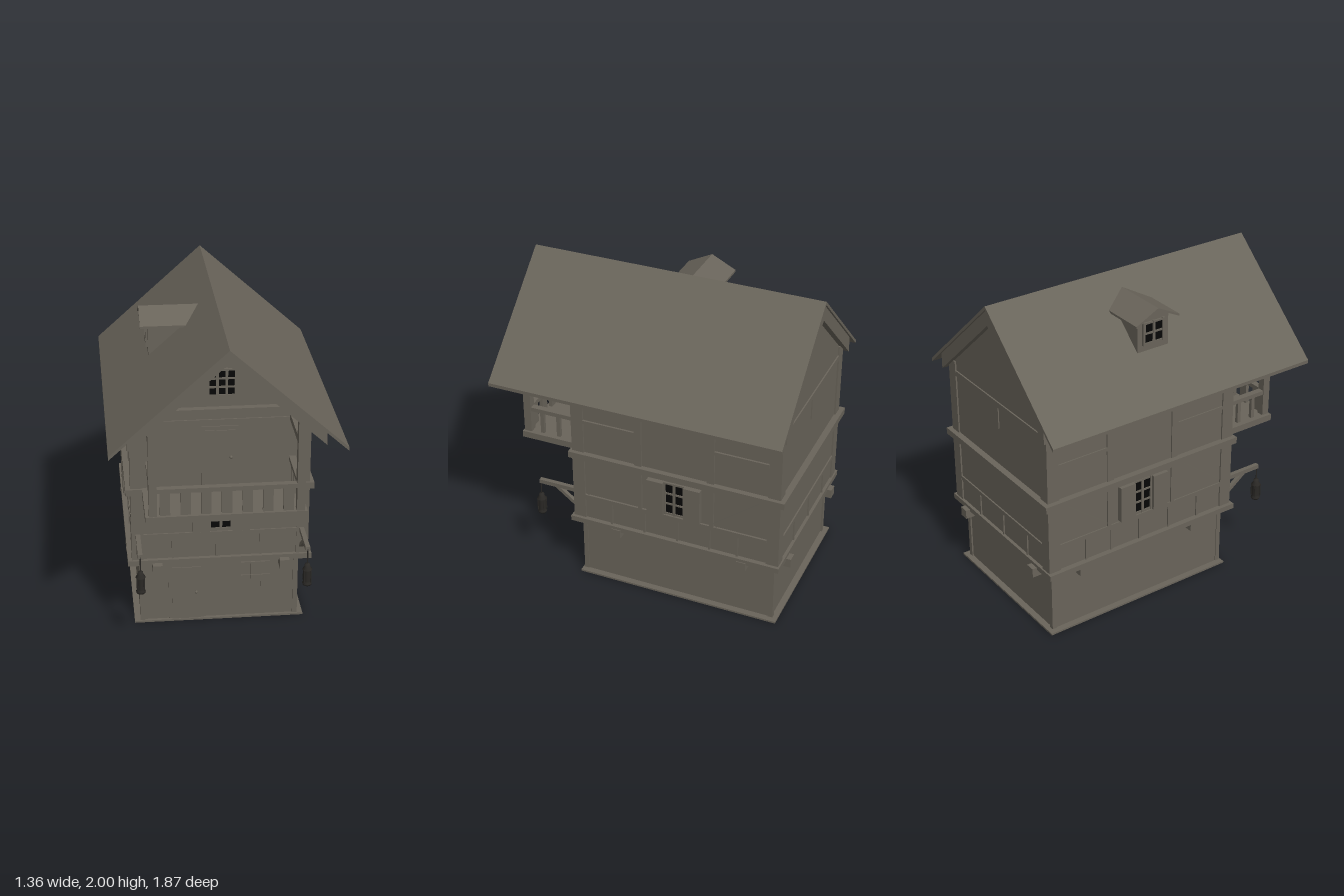
import * as THREE from 'three';

const mat = (name, color) => {
  const m = new THREE.MeshStandardMaterial({ color });
  m.name = name;
  return m;
};

export function createModel() {
  const house = new THREE.Group();
  house.name = 'timberHouse';
  const tan = mat('weatheredTan', 0x69645a);
  const black = mat('blackPane', 0x060606);
  const iron = mat('darkIron', 0x2b2926);

  const add = (name, geo, m = tan, parent = house) => {
    const mesh = new THREE.Mesh(geo, m);
    mesh.name = name;
    parent.add(mesh);
    return mesh;
  };
  // Box given by its limits on each axis
  const box = (name, x0, x1, y0, y1, z0, z1, m = tan, parent = house) => {
    const mesh = add(name, new THREE.BoxGeometry(x1 - x0, y1 - y0, z1 - z0), m, parent);
    mesh.position.set((x0 + x1) / 2, (y0 + y1) / 2, (z0 + z1) / 2);
    return mesh;
  };
  // Straight timber between two points
  const beam = (name, a, b, w, h, m = tan) => {
    const p = new THREE.Vector3(...a), q = new THREE.Vector3(...b);
    const mesh = add(name, new THREE.BoxGeometry(w, h, p.distanceTo(q)), m);
    mesh.position.copy(p).add(q).multiplyScalar(0.5);
    mesh.lookAt(q);
    return mesh;
  };
  // Outline in x/y extruded between two z limits
  const prism = (name, pts, z0, z1, parent = house) => {
    const shape = new THREE.Shape(pts.map(p => new THREE.Vector2(...p)));
    const mesh = add(name, new THREE.ExtrudeGeometry(shape, { depth: z1 - z0, bevelEnabled: false }), tan, parent);
    mesh.position.z = z0;
    return mesh;
  };
  const chevron = (name, top, slope, half, thick, z0, z1, parent = house) => {
    const low = top - slope * half;
    return prism(name, [[0, top], [-half, low], [-half, low - thick], [0, top - thick],
      [half, low - thick], [half, low]], z0, z1, parent);
  };
  const slope = 0.897;

  // Ground floor with a thin plinth frame and a dark underside
  box('plinthFront', -0.535, 0.52, 0, 0.012, 0.37, 0.445);
  box('plinthBack', -0.535, 0.52, 0, 0.012, -0.88, -0.80);
  box('plinthRight', -0.535, -0.455, 0, 0.012, -0.80, 0.37);
  box('plinthLeft', 0.44, 0.52, 0, 0.012, -0.80, 0.37);
  box('groundFloor', -0.495, 0.48, 0.008, 0.43, -0.84, 0.425);
  box('underside', -0.455, 0.44, 0.004, 0.008, -0.80, 0.37, black);
  for (const x of [-0.5, 0.455]) for (const z of [0.405, -0.85])
    box('groundCornerPost', x, x + 0.03, 0.012, 0.43, z, z + 0.03);

  // Ground floor door and shuttered hatch
  box('doorFrame', -0.32, -0.10, 0.012, 0.40, 0.42, 0.432);
  box('groundDoor', -0.30, -0.12, 0.012, 0.375, 0.43, 0.438);
  add('doorKnob', new THREE.SphereGeometry(0.01, 10, 8)).position.set(-0.15, 0.2, 0.443);
  for (let i = 0; i < 3; i++) for (let j = 0; j < 2; j++)
    box('hatchBoard', 0.13 + i * 0.061, 0.188 + i * 0.061, 0.21 + j * 0.092, 0.298 + j * 0.092, 0.42, 0.434);

  // Upper floors, closed by the gable
  box('middleFloor', -0.535, 0.53, 0.43, 0.93, -0.88, 0.455);
  prism('upperFloor', [[-0.535, 0.92], [0.53, 0.92], [0.53, 1.495], [0, 1.975], [-0.535, 1.49]], -0.88, 0.455);

  // Floor beams and the joist ends under them
  box('lowerFloorBeam', -0.57, 0.56, 0.425, 0.46, -0.90, 0.48);
  box('upperFloorBeam', -0.575, 0.565, 0.905, 0.947, -0.92, 0.48);
  for (const x of [-0.39, 0.39]) box('longJoist', x - 0.03, x + 0.03, 0.38, 0.44, -0.93, 0.52);
  for (const z of [0.17, -0.66]) box('crossJoist', -0.57, 0.565, 0.38, 0.44, z - 0.03, z + 0.03);

  // Corner posts
  for (const x of [-0.545, 0.465]) for (const z of [0.385, -0.89])
    box('cornerPost', x, x + 0.075, 0.46, 1.44, z, z + 0.08);

  // Timber framing on both long sides
  for (const s of [-1, 1]) {
    const plate = (name, y0, y1, z0, z1) => {
      const a = s * 0.525, b = s * 0.543;
      box(name, Math.min(a, b), Math.max(a, b), y0, y1, z0, z1);
    };
    plate('sideSill', 0.605, 0.635, -0.81, 0.385);
    plate('sideTopBeam', 1.36, 1.42, -0.81, 0.385);
    for (const z of [0.0, -0.47]) {
      plate('middleStud', 0.635, 0.905, z, z + 0.025);
      plate('upperStud', 0.947, 1.36, z, z + 0.045);
    }
    for (const z of [0.2, -0.02, -0.24, -0.45, -0.63]) plate('lowerStud', 0.46, 0.605, z, z + 0.012);
    plate('upperRailFront', 1.157, 1.18, 0.045, 0.385);
    plate('upperRailBack', 1.157, 1.18, -0.81, -0.47);
    beam('frontBrace', [s * 0.534, 0.65, 0.37], [s * 0.534, 0.90, 0.045], 0.018, 0.03);
    beam('backBrace', [s * 0.534, 0.65, -0.48], [s * 0.534, 0.90, -0.80], 0.018, 0.03);
    // Rafter ends below the eaves
    for (let i = 0; i < 8; i++) {
      const z = -0.78 + i * 0.165;
      beam('rafterEnd', [s * 0.5, 1.5, z], [s * 0.62, 1.5 - 0.12 * slope, z], 0.045, 0.05);
    }
  }

  // Timber framing on the front and back walls
  for (const [z0, z1] of [[0.45, 0.464], [-0.889, -0.875]]) {
    box('wallSill', -0.47, 0.465, 0.605, 0.632, z0, z1);
    box('wallTopBeam', -0.47, 0.465, 1.345, 1.38, z0, z1);
    for (const x of [-0.3, -0.03, 0.24]) box('lowerStud', x, x + 0.012, 0.46, 0.605, z0, z1);
    chevron('gableRafter', 1.975, slope, 0.5, 0.085, z0, z1);
  }
  box('backStud', -0.02, 0.02, 1.2, 1.345, -0.887, -0.875);

  // Window facing +z: black pane, frame, glazing bars, optional shutters
  const makeWindow = (name, w, h, cols, rows, shutter) => {
    const g = new THREE.Group();
    g.name = name;
    house.add(g);
    const t = 0.008, W = w / 2, H = h / 2;
    box('pane', -W, W, -H, H, -0.003, 0.003, black, g);
    for (let i = 0; i <= cols; i++) {
      const x = -W + (w * i) / cols;
      box('upright', x - t, x + t, -H - t, H + t, -0.004, 0.012, tan, g);
    }
    for (let j = 0; j <= rows; j++) {
      const y = -H + (h * j) / rows;
      box('crossBar', -W, W, y - t * 0.7, y + t * 0.7, -0.004, 0.01, tan, g);
    }
    if (shutter) for (const s of [-1, 1]) {
      const c = s * (W + 0.055);
      box('shutter', c - 0.053, c + 0.053, -H - t, H + t, -0.004, 0.032, tan, g);
    }
    return g;
  };
  makeWindow('frontWindow', 0.135, 0.22, 2, 3, true).position.set(0, 0.765, 0.459);
  makeWindow('gableWindow', 0.165, 0.16, 3, 3, false).position.set(0.005, 1.615, 0.459);
  for (const s of [-1, 1]) {
    const g = makeWindow('sideWindow', 0.13, 0.22, 2, 3, true);
    g.position.set(s * 0.538, 0.765, -0.217);
    g.rotation.y = s * Math.PI / 2;
  }

  // Balcony door
  box('balconyDoorFrame', -0.115, 0.105, 0.947, 1.335, 0.45, 0.462);
  box('balconyDoor', -0.095, 0.085, 0.947, 1.31, 0.46, 0.468);
  add('balconyKnob', new THREE.SphereGeometry(0.01, 10, 8)).position.set(0.06, 1.135, 0.473);

  // Balcony: floor, posts, railing and open truss
  box('balconyFloor', -0.475, 0.47, 0.905, 0.947, 0.455, 0.84);
  box('frontRail', -0.41, 0.41, 1.093, 1.12, 0.79, 0.83);
  for (let i = 0; i < 7; i++) {
    const x = -0.36 + i * 0.12;
    box('frontBaluster', x - 0.03, x + 0.03, 0.947, 1.095, 0.80, 0.822);
  }
  for (const s of [-1, 1]) {
    const x = s * 0.43;
    box('balconyPost', x - 0.024, x + 0.024, 0.947, 1.56, 0.785, 0.833);
    box('sideRail', x - 0.02, x + 0.02, 1.093, 1.12, 0.455, 0.79);
    box('balconyTopBeam', x - 0.02, x + 0.02, 1.36, 1.4, 0.455, 0.79);
    for (const z of [0.715, 0.605, 0.50])
      box('sideBaluster', x - 0.011, x + 0.011, 0.947, 1.095, z - 0.012, z + 0.012);
  }
  box('trussTie', -0.41, 0.41, 1.575, 1.61, 0.79, 0.83);
  chevron('frontTruss', 1.975, slope, 0.57, 0.1, 0.785, 0.835);
  chevron('backBargeBoard', 1.975, slope, 0.57, 0.1, -0.92, -0.88);

  // Main roof
  chevron('roof', 2, slope, 0.68, 0.022, -0.93, 0.935);

  // Dormer, built facing +z and turned to -x
  const dormer = new THREE.Group();
  dormer.name = 'dormer';
  dormer.position.z = -0.045;
  dormer.rotation.y = -Math.PI / 2;
  house.add(dormer);
  chevron('dormerRoof', 1.92, 0.5, 0.155, 0.014, 0.09, 0.45, dormer);
  prism('dormerBody', [[-0.11, 1.62], [0.11, 1.62], [0.11, 1.852], [0, 1.907], [-0.11, 1.852]], 0.2, 0.4, dormer);
  const dw = makeWindow('dormerWindow', 0.14, 0.13, 2, 2, false);
  dormer.add(dw);
  dw.position.set(0, 1.755, 0.402);

  // Lanterns on braced arms
  const profile = [[0, 0], [0.026, 0], [0.03, 0.012], [0.022, 0.02], [0.026, 0.03], [0.026, 0.1],
    [0.031, 0.106], [0.018, 0.125], [0.016, 0.142], [0, 0.148]].map(p => new THREE.Vector2(...p));
  for (const x of [-0.505, 0.497]) {
    box('lanternArm', x - 0.014, x + 0.014, 0.61, 0.637, 0.455, 0.72);
    beam('armBrace', [x, 0.505, 0.455], [x, 0.615, 0.60], 0.024, 0.022);
    add('lantern', new THREE.LatheGeometry(profile, 10), iron).position.set(x, 0.38, 0.717);
    add('hanger', new THREE.CylinderGeometry(0.004, 0.004, 0.1, 6), iron).position.set(x, 0.57, 0.717);
    for (let i = 0; i < 4; i++) {
      const a = (i + 0.5) * Math.PI / 2;
      add('lanternBar', new THREE.CylinderGeometry(0.004, 0.004, 0.085, 6), iron)
        .position.set(x + 0.028 * Math.cos(a), 0.445, 0.717 + 0.028 * Math.sin(a));
    }
  }
  return house;
}
